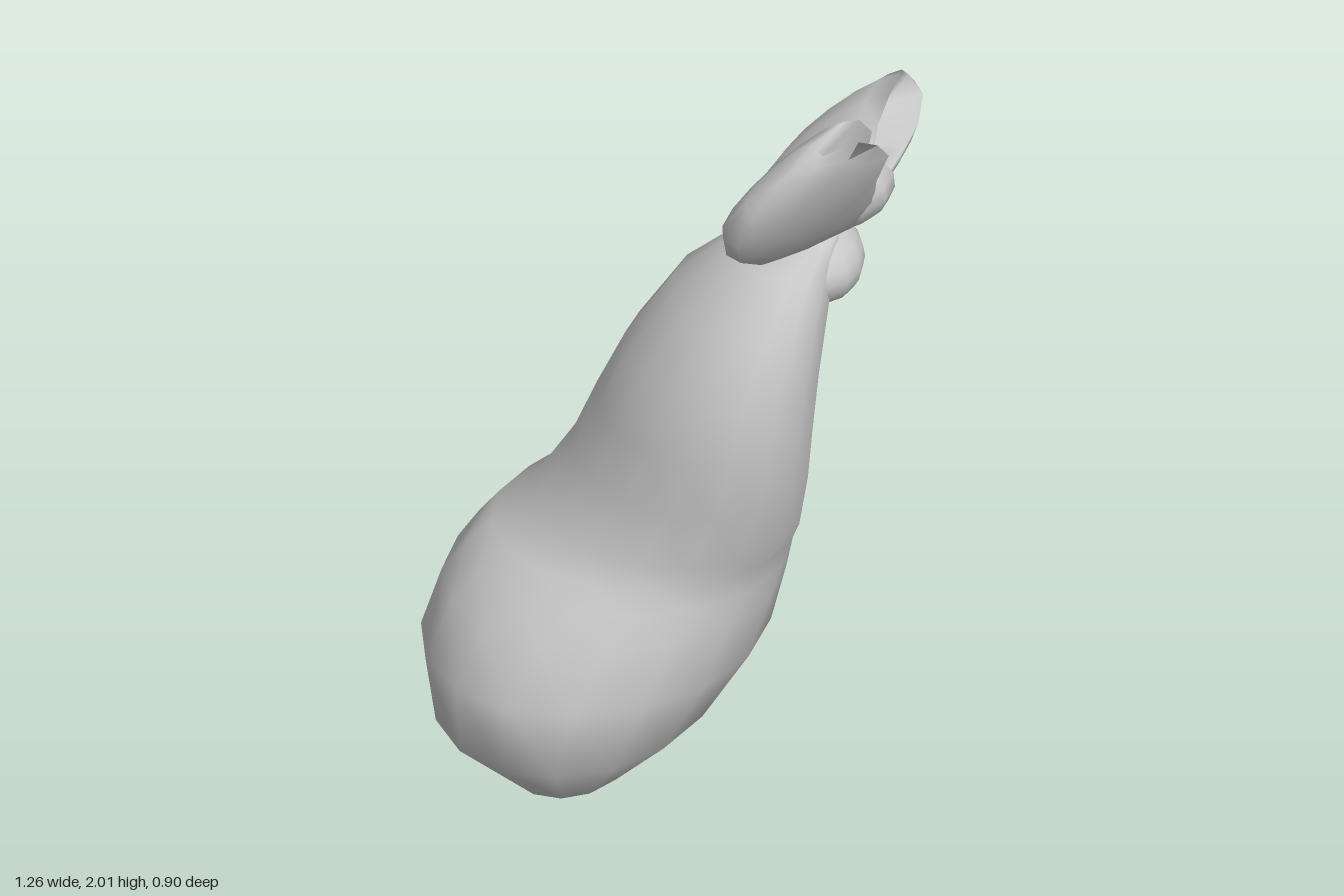
import * as THREE from 'three';

// Smooth closed skin over a list of equal rings, capped at both ends.
function loft(rings) {
  const n = rings[0].length, pos = [], idx = [];
  rings.forEach(r => r.forEach(p => pos.push(p.x, p.y, p.z)));
  const last = (rings.length - 1) * n;
  for (let i = 0; i < rings.length - 1; i++) {
    for (let j = 0; j < n; j++) {
      const k = (j + 1) % n, a = i * n + j, b = i * n + k;
      idx.push(a, b, a + n, b, b + n, a + n);
    }
  }
  [rings[0], rings[rings.length - 1]].forEach((r, e) => {
    const c = r.reduce((s, p) => s.add(p), new THREE.Vector3()).divideScalar(n);
    const ci = pos.length / 3;
    pos.push(c.x, c.y, c.z);
    for (let j = 0; j < n; j++) {
      const k = (j + 1) % n;
      if (e) idx.push(last + j, last + k, ci);
      else idx.push(k, j, ci);
    }
  });
  const g = new THREE.BufferGeometry();
  g.setAttribute('position', new THREE.Float32BufferAttribute(pos, 3));
  g.setIndex(idx);
  g.computeVertexNormals();
  return g;
}

// Leaning sack: each row is y, min x, max x, min z, max z, skew of x along z.
function sackGeometry() {
  const rows = [
    [0.00, -0.30, -0.20, 0.02, 0.18, 0.1],
    [0.06, -0.44, -0.07, -0.27, 0.30, 0.1],
    [0.22, -0.60, 0.13, -0.44, 0.455, 0.15],
    [0.40, -0.63, 0.25, -0.43, 0.455, 0.15],
    [0.55, -0.575, 0.285, -0.40, 0.40, 0.08],
    [0.63, -0.51, 0.30, -0.37, 0.36, 0.02],
    [0.69, -0.45, 0.31, -0.35, 0.335, -0.05],
    [0.75, -0.35, 0.325, -0.33, 0.33, -0.12],
    [0.90, -0.25, 0.34, -0.295, 0.34, -0.17],
    [1.05, -0.19, 0.35, -0.27, 0.35, -0.17],
    [1.20, -0.12, 0.365, -0.25, 0.33, -0.15],
    [1.37, 0.00, 0.39, -0.23, 0.275, -0.1],
    [1.49, 0.15, 0.41, -0.17, 0.16, -0.05],
    [1.54, 0.29, 0.42, -0.12, 0.07, 0]
  ];
  const n = 16;
  return loft(rows.map(([y, x0, x1, z0, z1, skew]) => {
    const rz = (z1 - z0) / 2, rx = Math.sqrt(((x1 - x0) / 2) ** 2 - (skew * rz) ** 2);
    return Array.from({ length: n }, (_, j) => {
      const a = j / n * Math.PI * 2, dz = rz * Math.cos(a);
      return new THREE.Vector3((x0 + x1) / 2 + rx * Math.sin(a) - skew * dz, y, (z0 + z1) / 2 + dz);
    });
  }));
}

// Flattened ribbon loop growing along dir, with a slit along its +wide edge.
function loopGeometry(origin, dir, wide, rows) {
  const d = new THREE.Vector3(...dir).normalize();
  const w = new THREE.Vector3(...wide);
  w.addScaledVector(d, -w.dot(d)).normalize();
  const t = new THREE.Vector3().crossVectors(d, w);
  const soft = v => Math.sign(v) * Math.pow(Math.abs(v), 0.7);
  const n = 16;
  return loft(rows.map(([along, lo, hi, thick, slit]) =>
    Array.from({ length: n }, (_, j) => {
      const a = j / n * Math.PI * 2;
      const u = (lo + hi) / 2 + (hi - lo) / 2 * Math.cos(a) - (j === 0 ? slit : 0);
      return new THREE.Vector3(...origin)
        .addScaledVector(d, along).addScaledVector(w, u)
        .addScaledVector(t, thick * soft(Math.sin(a)));
    })));
}

export function createModel() {
  const group = new THREE.Group();
  const grey = new THREE.MeshStandardMaterial({ color: 0xc8c8c8 });
  grey.name = 'plainGrey';
  const add = (name, geometry) => {
    const mesh = new THREE.Mesh(geometry, grey);
    mesh.name = name;
    group.add(mesh);
    return mesh;
  };

  add('sack', sackGeometry());

  // Gathered end under the bow
  const gather = add('gatheredEnd', new THREE.SphereGeometry(1, 14, 10));
  gather.scale.set(0.12, 0.105, 0.155);
  gather.position.set(0.36, 1.44, -0.035);

  // Bow knot
  const knot = add('bowKnot', new THREE.SphereGeometry(1, 10, 8));
  knot.scale.set(0.14, 0.1, 0.09);
  knot.position.set(0.42, 1.62, -0.055);
  knot.rotation.z = 0.35;

  // Bow loops: distance, low edge, high edge, half thickness, slit depth
  add('frontLoop', loopGeometry([0.43, 1.61, 0], [-0.17, 0.22, 0.28], [0.67, 0.74, 0], [
    [-0.05, -0.08, 0.06, 0.04, 0],
    [0.06, -0.17, 0.13, 0.055, 0.04],
    [0.18, -0.23, 0.24, 0.075, 0.14],
    [0.30, -0.235, 0.27, 0.08, 0.17],
    [0.39, -0.19, 0.26, 0.065, 0.11],
    [0.45, -0.08, 0.17, 0.04, 0.01]
  ]));
  add('backLoop', loopGeometry([0.43, 1.57, -0.08], [0.06, 0.04, -1], [0.73, 0.68, -0.1], [
    [-0.05, -0.09, 0.08, 0.04, 0],
    [0.05, -0.17, 0.12, 0.07, 0.04],
    [0.14, -0.275, 0.17, 0.095, 0.12],
    [0.22, -0.28, 0.21, 0.105, 0.17],
    [0.31, -0.22, 0.23, 0.08, 0.11],
    [0.36, -0.12, 0.21, 0.045, 0.01]
  ]));

  return group;
}
